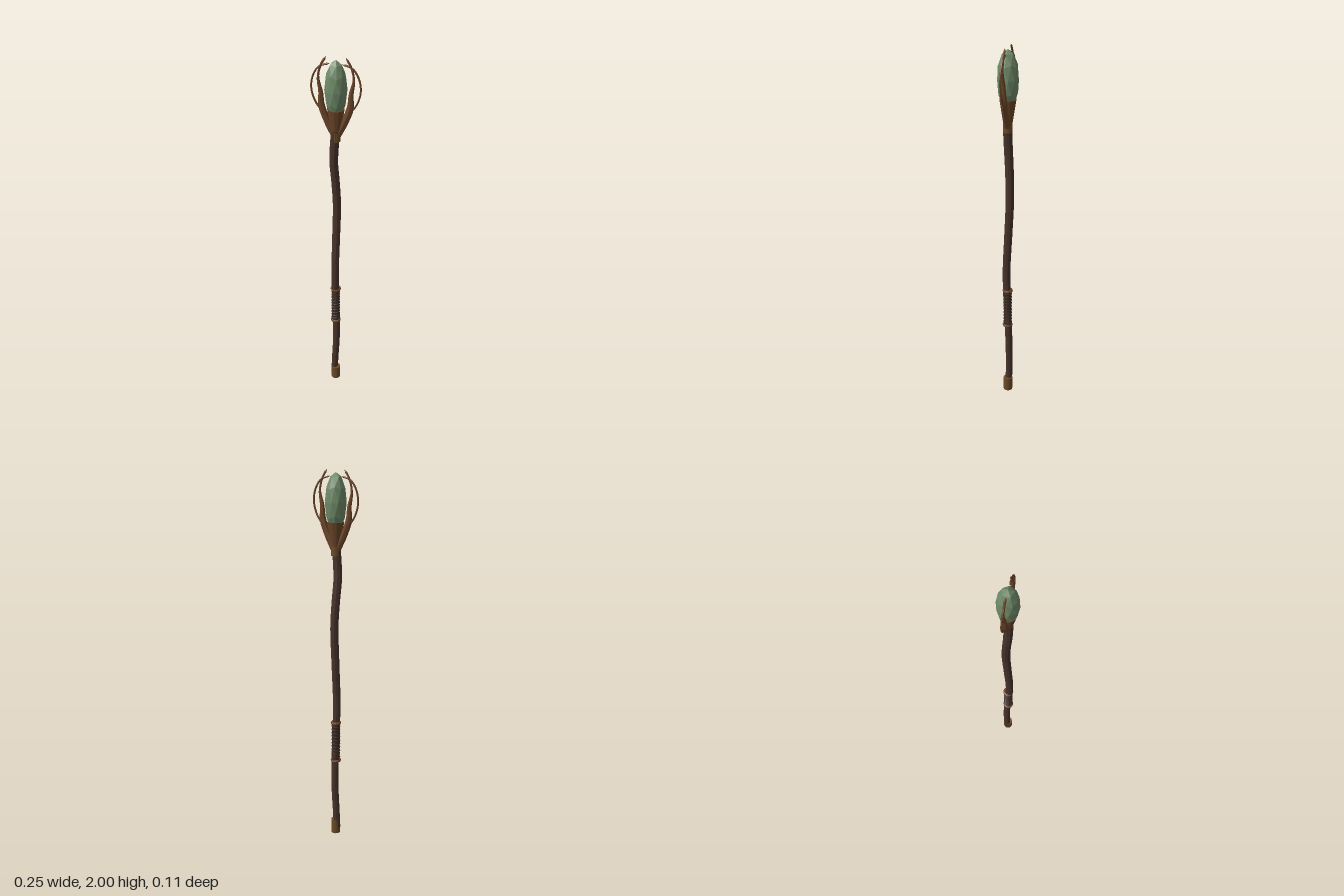
import * as THREE from 'three';

const mat = (name, color, extra = {}) => {
  const m = new THREE.MeshStandardMaterial({ color, ...extra });
  m.name = name;
  return m;
};

// Tube along points [x, y, z] whose radius follows radiusAt(t)
function taperedTube(points, radiusAt, rings, sides) {
  const curve = new THREE.CatmullRomCurve3(points.map(p => new THREE.Vector3(...p)));
  const geo = new THREE.TubeGeometry(curve, rings, 1, sides);
  const pos = geo.attributes.position;
  const v = new THREE.Vector3();
  for (let i = 0; i <= rings; i++) {
    const c = curve.getPointAt(i / rings);
    for (let j = 0; j <= sides; j++) {
      const k = i * (sides + 1) + j;
      v.fromBufferAttribute(pos, k).sub(c).multiplyScalar(radiusAt(i / rings)).add(c);
      pos.setXYZ(k, v.x, v.y, v.z);
    }
  }
  geo.computeVertexNormals();
  return geo;
}

export function createModel() {
  const root = new THREE.Group();
  root.name = 'staff';
  const wood = mat('dark wood', 0x48332b, { flatShading: true });
  const leather = mat('grip leather', 0x3c2a23);
  const claw = mat('claw wood', 0x6b4529, { flatShading: true });
  const bronze = mat('aged bronze', 0x6b4a26);
  const crystal = mat('green crystal', 0x6f8a68, { flatShading: true });

  const add = (name, geo, material, x = 0, y = 0, z = 0, parent = root) => {
    const m = new THREE.Mesh(geo, material);
    m.name = name;
    m.position.set(x, y, z);
    parent.add(m);
    return m;
  };

  // Gently crooked shaft
  const shaftPath = [
    [-0.008, 0.03, 0], [-0.006, 0.12, -0.005], [0.002, 0.3, -0.007], [0.003, 0.45, -0.002],
    [0, 0.62, 0.006], [-0.002, 0.78, 0.009], [0.001, 1.0, -0.002], [0.003, 1.2, -0.011],
    [-0.004, 1.34, -0.007], [-0.011, 1.45, 0], [-0.007, 1.54, 0.003], [0, 1.63, 0.002],
  ];
  add('shaft', taperedTube(shaftPath, t => 0.019 + 0.004 * t, 40, 10), wood);

  // Foot cap
  add('footCap', new THREE.CylinderGeometry(0.025, 0.025, 0.08, 16), bronze, 0, 0.04, 0);

  // Wrapped grip with an end ring on each side
  const grip = new THREE.Group();
  grip.name = 'grip';
  root.add(grip);
  add('gripCore', new THREE.CylinderGeometry(0.0215, 0.0215, 0.22, 14), leather, 0, 0.55, 0.002, grip);
  for (let i = 0; i < 10; i++) {
    const wrap = add('gripWrap', new THREE.TorusGeometry(0.0195, 0.005, 6, 16), leather, 0, 0.461 + i * 0.0198, 0.002, grip);
    wrap.rotation.set(Math.PI / 2, 0.12, 0);
  }
  for (const y of [0.44, 0.66]) {
    const ring = add('gripRing', new THREE.TorusGeometry(0.021, 0.0075, 8, 16), claw, 0, y, 0.002, grip);
    ring.rotation.x = Math.PI / 2;
  }

  // Collar and flared cup holding the crystal
  add('collar', new THREE.CylinderGeometry(0.024, 0.024, 0.05, 14), bronze, 0, 1.595, 0.001);
  add('cup', new THREE.CylinderGeometry(0.043, 0.022, 0.13, 12), claw, 0, 1.675, 0);

  // Faceted crystal, standing on one corner
  const gem = new THREE.IcosahedronGeometry(1, 1);
  gem.rotateX(-Math.atan((1 + Math.sqrt(5)) / 2));
  gem.rotateY(Math.PI / 2);
  gem.scale(0.055, 0.147, 0.055);
  add('crystal', gem, crystal, 0, 1.837, 0);

  // Mirrored claws, each with a thin outer tendril
  for (const s of [1, -1]) {
    const side = s > 0 ? 'left' : 'right';
    const clawPath = [
      [0.008, 1.6], [0.042, 1.67], [0.07, 1.75], [0.074, 1.82], [0.086, 1.89], [0.074, 1.95], [0.047, 1.998],
    ].map(([x, y]) => [s * x, y, 0]);
    const clawRadius = t => t >= 1 ? 0.0005 : t < 0.35 ? 0.018 : 0.018 - 0.0125 * Math.min(1, (t - 0.35) / 0.4);
    add(side + 'Claw', taperedTube(clawPath, clawRadius, 28, 8), claw);

    const tendrilPath = [
      [0.076, 1.73], [0.104, 1.775], [0.12, 1.84], [0.108, 1.905], [0.078, 1.948], [0.03, 1.965],
    ].map(([x, y]) => [s * x, y, 0]);
    add(side + 'Tendril', taperedTube(tendrilPath, t => t >= 1 ? 0.0005 : 0.0048, 24, 6), claw);
  }
  return root;
}
